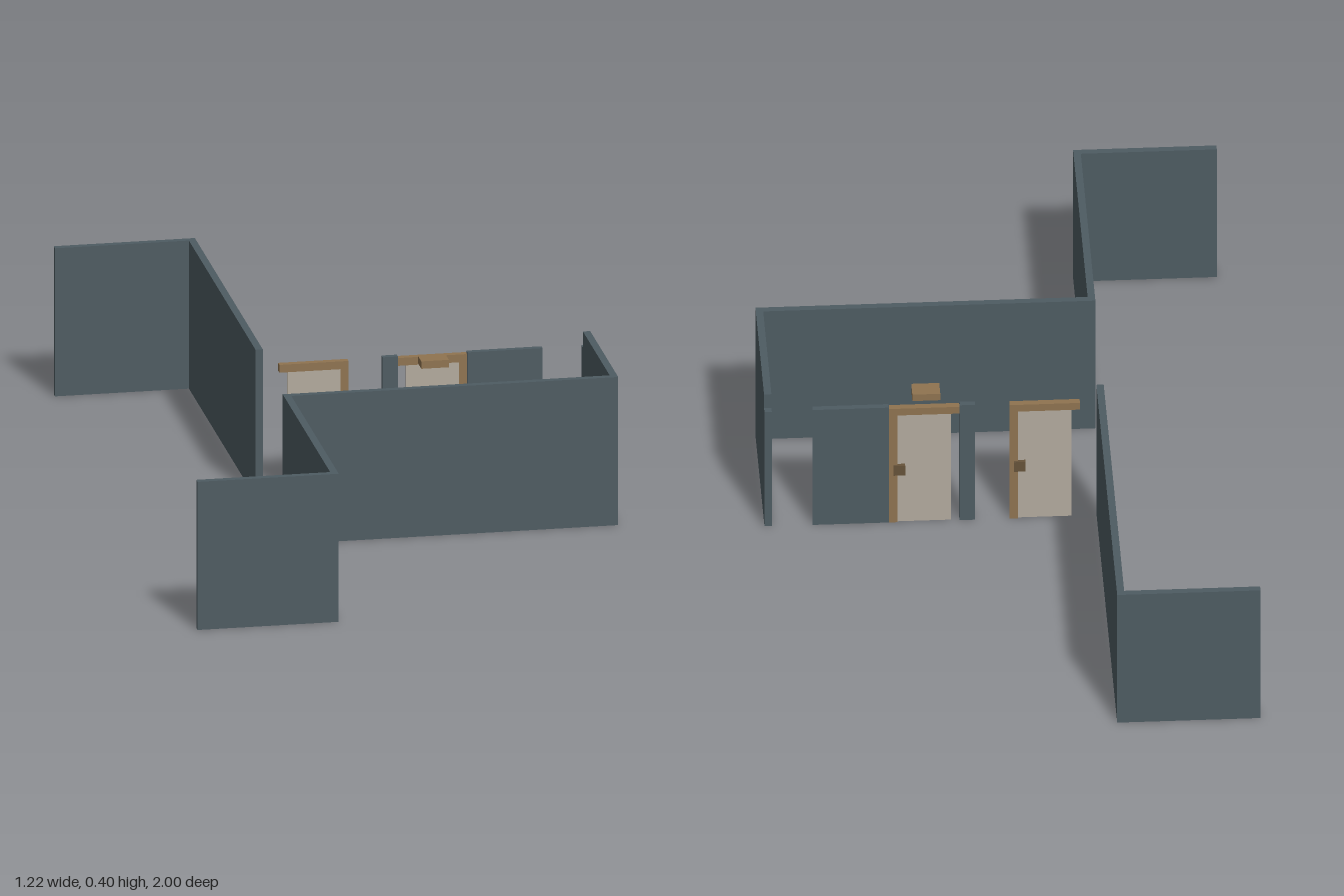
import * as THREE from 'three';

function material(name, color) {
  const m = new THREE.MeshStandardMaterial({ color });
  m.name = name;
  return m;
}

// Box given by its extents on each axis
function block(parent, name, mat, [x0, x1], [y0, y1], [z0, z1]) {
  const mesh = new THREE.Mesh(new THREE.BoxGeometry(x1 - x0, y1 - y0, z1 - z0), mat);
  mesh.position.set((x0 + x1) / 2, (y0 + y1) / 2, (z0 + z1) / 2);
  mesh.name = name;
  parent.add(mesh);
  return mesh;
}

export function createModel() {
  const slate = material('slate wall', 0x4e5c62);
  const wood = material('brown wood', 0x8f7350);
  const panel = material('beige panel', 0xb3ab9e);
  const bronze = material('dark bronze', 0x66533a);

  const model = new THREE.Group();
  model.name = 'roomWalls';

  // Perimeter walls
  const H = [0, 0.4];
  const sideX = [-0.262, -0.243];
  block(model, 'backEndWall', slate, [-0.612, -0.243], H, [-1, -0.982]);
  block(model, 'backSideWall', slate, sideX, H, [-0.982, -0.055]);
  block(model, 'frontSideWall', slate, sideX, H, [0.34, 0.982]);
  block(model, 'frontEndWall', slate, [-0.612, -0.243], H, [0.982, 1]);
  block(model, 'alcoveLongWall', slate, [-0.262, 0.612], H, [0.322, 0.34]);

  // Alcove end wall with a notch in its top back corner
  const endX = [0.593, 0.612];
  block(model, 'alcoveEndWall', slate, endX, H, [-0.05, 0.322]);
  block(model, 'alcoveEndWallStep', slate, endX, [0, 0.357], [-0.068, -0.05]);

  // Low partition on both sides of the second doorway
  const partZ = [-0.07, -0.054];
  block(model, 'partitionJamb', slate, [0.07, 0.11], [0, 0.36], partZ);
  block(model, 'partitionWall', slate, [0.292, 0.488], [0, 0.36], partZ);

  // Doors: slab, post, lintel and lever handles
  for (const [name, x] of [['leftDoor', 0.11], ['rightDoor', -0.2]]) {
    const door = new THREE.Group();
    door.name = name;
    door.position.x = x;
    block(door, 'doorPanel', panel, [0.022, 0.16], [0, 0.335], [-0.066, -0.058]);
    block(door, 'doorPost', wood, [0.16, 0.181], [0, 0.335], [-0.07, -0.054]);
    block(door, 'lintel', wood, [0, 0.181], [0.335, 0.356], [-0.071, -0.053]);
    block(door, 'lockPlate', bronze, [0.14, 0.17], [0.15, 0.18], [-0.076, -0.066]);
    block(door, 'handleStem', bronze, [0.157, 0.163], [0.16, 0.168], [-0.058, -0.032]);
    block(door, 'handleLever', bronze, [0.128, 0.16], [0.158, 0.17], [-0.058, -0.048]);
    model.add(door);
  }

  // Small raised shelf block in front of the doorway
  block(model, 'hangingBlock', wood, [0.157, 0.229], [0.348, 0.368], [-0.027, 0.022]);

  return model;
}
